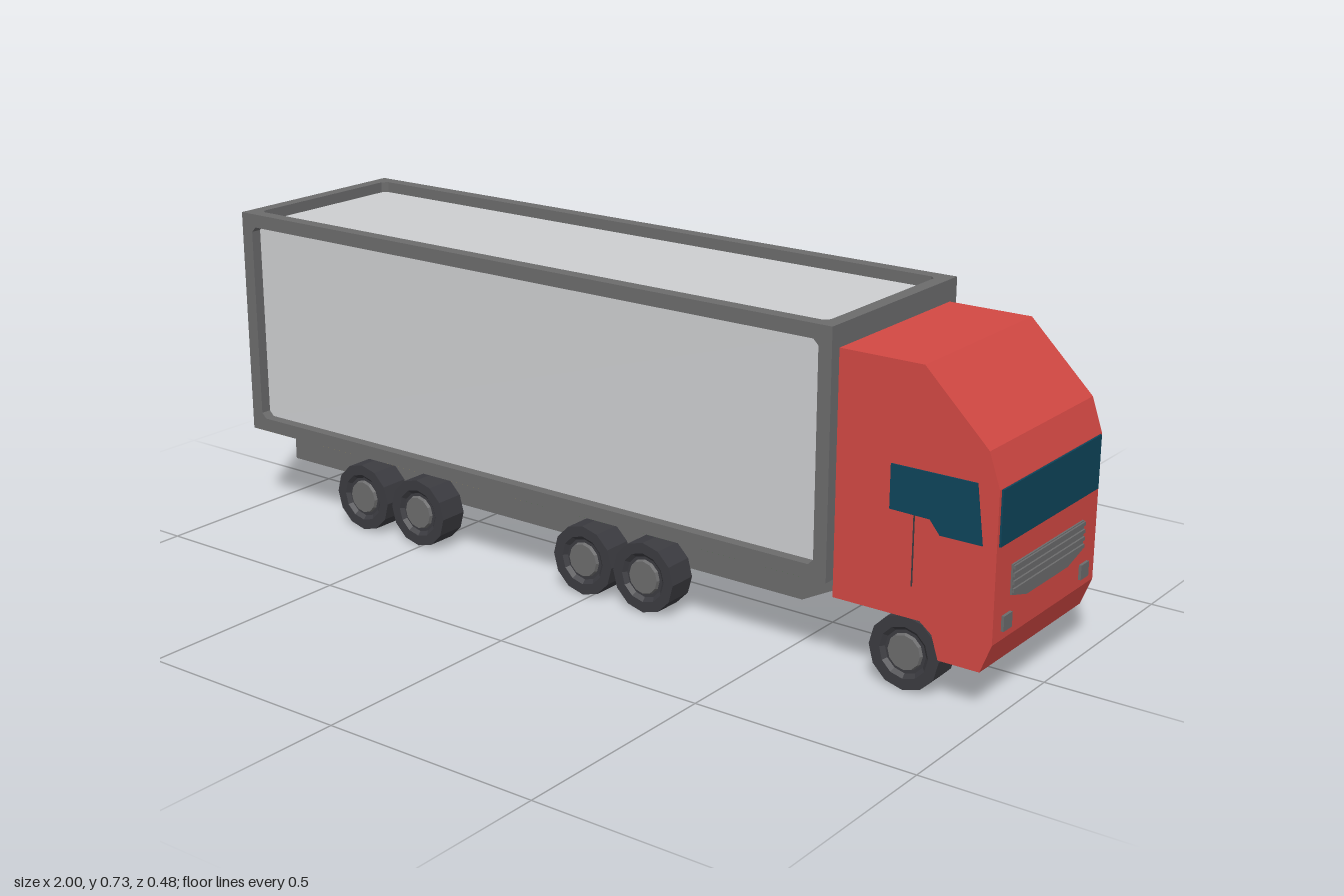
import * as THREE from 'three';

const mat = (name, color) => {
  const m = new THREE.MeshStandardMaterial({ color, flatShading: true });
  m.name = name;
  return m;
};

export function createModel() {
  const red = mat('cab red', 0xd24843);
  const grey = mat('frame grey', 0x6b6b6c);
  const light = mat('panel light grey', 0xcdced0);
  const glass = mat('window blue', 0x0e445a);
  const rubber = mat('tyre black', 0x3b3b40);
  const green = mat('underside green', 0x4c7044);
  const olive = mat('underside olive', 0xa3925c);

  const truck = new THREE.Group();
  truck.name = 'truck';

  const add = (name, geometry, material, parent = truck) => {
    const mesh = new THREE.Mesh(geometry, material);
    mesh.name = name;
    parent.add(mesh);
    return mesh;
  };
  // Box given by its lower and upper corners
  const box = (name, material, [x0, y0, z0], [x1, y1, z1]) => {
    const mesh = add(name, new THREE.BoxGeometry(x1 - x0, y1 - y0, z1 - z0), material);
    mesh.position.set((x0 + x1) / 2, (y0 + y1) / 2, (z0 + z1) / 2);
    return mesh;
  };
  const shapeOf = (pts) => new THREE.Shape(pts.map(([x, y]) => new THREE.Vector2(x, y)));
  const extrude = (shape, depth) =>
    new THREE.ExtrudeGeometry(shape, { depth, bevelEnabled: false });

  // Rectangular border with a chamfered opening
  const border = (w, h, rim, depth) => {
    const a = w / 2, b = h / 2, p = a - rim, q = b - rim, c = 0.012;
    const shape = shapeOf([[-a, -b], [a, -b], [a, b], [-a, b]]);
    shape.holes.push(shapeOf([
      [-p + c, -q], [-p, -q + c], [-p, q - c], [-p + c, q],
      [p - c, q], [p, q - c], [p, -q + c], [p - c, -q],
    ]));
    return extrude(shape, depth).translate(0, 0, -depth);
  };

  // Cargo box: light core inside a grey framework
  const X0 = -1, X1 = 0.63, Y0 = 0.2, Y1 = 0.73, Z = 0.24, T = 0.025;
  const cx = (X0 + X1) / 2, cy = (Y0 + Y1) / 2;
  box('cargoPanels', light, [X0 + T, Y0 + T, -Z + T], [X1 - T, Y1 - T, Z - T]);
  for (const side of [1, -1]) {
    const frame = add('sideFrame', border(X1 - X0, Y1 - Y0, 0.031, T), grey);
    frame.position.set(cx, cy, side * Z);
    if (side < 0) frame.rotation.y = Math.PI;
  }
  const roof = add('roofFrame', border(X1 - X0, 2 * Z, 0.031, T).rotateX(-Math.PI / 2), grey);
  roof.position.set(cx, Y1, 0);
  const rear = add('rearFrame', border(2 * Z, Y1 - Y0, 0.031, T).rotateY(-Math.PI / 2), grey);
  rear.position.set(X0, cy, 0);
  box('rearDoorPost', grey, [X0 + 0.005, Y0 + 0.02, -0.03], [X0 + 0.03, Y1 - 0.02, 0.03]);
  box('cargoFrontWall', grey, [X1 - T, Y0, -Z], [X1, Y1, Z]);
  box('cargoFloor', grey, [X0, Y0, -Z], [X1, Y0 + T, Z]);
  box('frontUnderside', green, [-0.15, Y0 - 0.002, -Z + 0.004], [X1 - 0.03, Y0, Z - 0.004]);
  box('rearUnderside', olive, [X0 + 0.005, Y0 - 0.002, -Z + 0.004], [-0.15, Y0, Z - 0.004]);

  // Chassis with sloped front end
  add('chassis', extrude(shapeOf([
    [-0.975, 0.097], [0.505, 0.097], [0.63, 0.162], [0.63, 0.2], [-0.975, 0.2],
  ]), 0.26).translate(0, 0, -0.13), grey);

  // Cab: side profile swept across the width
  const W = 0.213, F = 0.99;
  add('cab', extrude(shapeOf([
    [0.63, 0.162], [0.83, 0.162], [0.858, 0.14], [0.874, 0.09], [0.966, 0.09],
    [F, 0.152], [F, 0.468], [0.965, 0.54], [0.82, 0.682], [0.63, 0.682],
  ]), 2 * W).translate(0, 0, -W), red);

  // Side windows and door seams
  const windowShape = shapeOf([
    [0.755, 0.38], [0.845, 0.378], [0.868, 0.35], [0.96, 0.35], [0.944, 0.473], [0.755, 0.473],
  ]);
  for (const side of [1, -1]) {
    add('sideWindow', extrude(windowShape, 0.004), glass)
      .position.z = side > 0 ? W - 0.001 : -W - 0.003;
    const z = side * W;
    box('doorSeam', rubber, [0.808, 0.23, z - 0.001], [0.811, 0.378, z + 0.001]);
    box('headlight', grey, [F - 0.002, 0.171, side * 0.163 - 0.017],
      [F + 0.006, 0.203, side * 0.163 + 0.017]);
  }

  // Windscreen and grille on the cab front
  box('windscreen', glass, [F - 0.002, 0.352, -0.205], [F + 0.004, 0.467, 0.205]);
  add('grille', extrude(shapeOf([
    [-0.15, 0.237], [-0.087, 0.219], [0.087, 0.219], [0.15, 0.237], [0.15, 0.3], [-0.15, 0.3],
  ]), 0.005).rotateY(Math.PI / 2), grey).position.x = F - 0.001;
  for (let i = 0; i < 4; i++) {
    const y = 0.242 + i * 0.016;
    box('grilleSlat', grey, [F, y, -0.149], [F + 0.008, y + 0.008, 0.149]);
  }

  // Wheels and axles
  const R = 0.08;
  const tyre = new THREE.LatheGeometry([
    [0, 0.132], [R, 0.132], [R, 0.202], [0.056, 0.202], [0.047, 0.194], [0, 0.194],
  ].map(([r, y]) => new THREE.Vector2(r, y)), 12).rotateX(Math.PI / 2);
  const hub = new THREE.CylinderGeometry(0.037, 0.042, 0.012, 12)
    .rotateX(Math.PI / 2).translate(0, 0, 0.195);
  const axle = new THREE.CylinderGeometry(0.015, 0.015, 0.27, 10).rotateX(Math.PI / 2);
  for (const x of [-0.682, -0.508, -0.02, 0.145, 0.791]) {
    const set = new THREE.Group();
    set.name = 'wheelSet';
    set.position.set(x, R, 0);
    add('axle', axle, rubber, set);
    for (const turn of [0, Math.PI]) {
      const wheel = new THREE.Group();
      wheel.name = 'wheel';
      wheel.rotation.y = turn;
      add('tyre', tyre, rubber, wheel);
      add('hub', hub, grey, wheel);
      set.add(wheel);
    }
    truck.add(set);
  }
  return truck;
}
